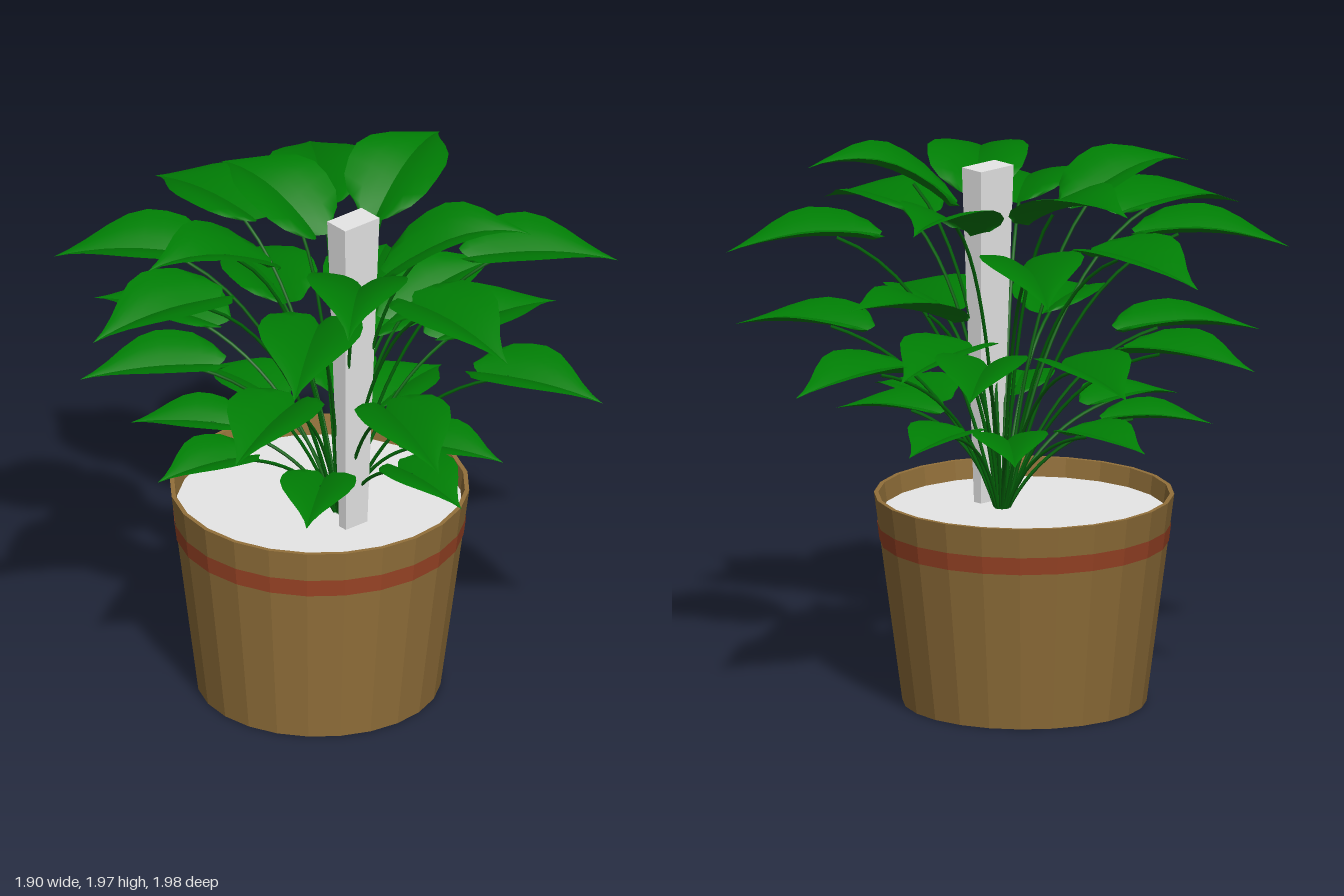
import * as THREE from 'three';

const mat = (name, color, side = THREE.FrontSide) => {
  const m = new THREE.MeshStandardMaterial({ color, side });
  m.name = name;
  return m;
};

// Half-width of the blade from stalk to tip: [position along, fraction of width]
const OUTLINE = [[0, 0.42], [0.05, 0.72], [0.14, 0.91], [0.27, 0.99], [0.4, 1],
  [0.53, 0.87], [0.66, 0.61], [0.79, 0.31], [0.9, 0.11], [1, 0]];

// Heart-shaped blade: the midrib arches gently and both halves fold up from it,
// levelling out towards the edge. Each half has its own vertices, so the
// midrib stays a crisp fold.
function leafGeometry(base, tip, width, arch) {
  const along = tip.clone().sub(base);
  const length = along.length();
  const side = new THREE.Vector3(-along.z, 0, along.x).normalize();
  const cols = 4, pos = [], index = [];
  for (const sign of [1, -1]) {
    const start = pos.length / 3;
    OUTLINE.forEach(([u, w]) => {
      for (let c = 0; c <= cols; c++) {
        const s = c / cols;
        const lobe = -0.07 * Math.sin(Math.PI * s) * Math.max(0, 1 - u * 4);
        const p = base.clone().addScaledVector(along, u + lobe);
        p.addScaledVector(side, sign * s * w * width / 2);
        p.y += arch * Math.pow(Math.sin(Math.PI * Math.min(u, 0.9999)), 0.8);
        p.y += length * w * (0.215 * s - 0.1 * s * s);
        pos.push(p.x, p.y, p.z);
      }
    });
    for (let r = 0; r < OUTLINE.length - 1; r++) for (let c = 0; c < cols; c++) {
      const a = start + r * (cols + 1) + c, b = a + 1, d = a + cols + 1, e = d + 1;
      if (sign > 0) index.push(a, b, d, b, e, d);
      else index.push(a, d, b, b, d, e);
    }
  }
  const g = new THREE.BufferGeometry();
  g.setAttribute('position', new THREE.Float32BufferAttribute(pos, 3));
  g.setIndex(index);
  g.computeVertexNormals();
  return g;
}

// The pot leans slightly: its axis drifts as it rises
const lean = (g) => {
  const p = g.attributes.position;
  for (let i = 0; i < p.count; i++) {
    const y = p.getY(i);
    p.setX(i, p.getX(i) - 0.055 - 0.033 * y);
    p.setZ(i, p.getZ(i) - 0.005 - 0.033 * y);
  }
  return g;
};

// Faceted, leaning ring from a [radius, height] profile
function turned(profile) {
  const g = new THREE.LatheGeometry(profile.map(([r, y]) => new THREE.Vector2(r, y)), 24).toNonIndexed();
  lean(g).computeVertexNormals();
  return g;
}

export function createModel() {
  const model = new THREE.Group();
  const potBrown = mat('pot brown', 0x92703a, THREE.DoubleSide);
  const bandRed = mat('band red', 0x9c4526, THREE.DoubleSide);
  const paleGrey = mat('pale grey', 0xe8e8e8);
  const leafGreen = mat('leaf green', 0x007d04, THREE.DoubleSide);
  const stemGreen = mat('stem green', 0x006406);
  const add = (name, geometry, material, parent = model) => {
    const m = new THREE.Mesh(geometry, material);
    m.name = name;
    parent.add(m);
    return m;
  };

  // Pot with a recessed base and a thin rim
  add('pot', turned([[0, 0.03], [0.415, 0.03], [0.42, 0], [0.436, 0], [0.536, 0.77],
    [0.52, 0.77], [0.508, 0.68]]), potBrown);
  const radiusAt = (y) => 0.436 + 0.1 * y / 0.77 + 0.003;
  add('potBand', turned([[radiusAt(0.595), 0.595], [radiusAt(0.66), 0.66]]), bandRed);

  // Soil surface
  const soil = new THREE.CircleGeometry(0.513, 24).rotateX(-Math.PI / 2).translate(0, 0.7, 0);
  add('soil', lean(soil), paleGrey);

  // Support post, narrower towards the soil
  const post = new THREE.BoxGeometry(1, 1.24, 1).translate(0, 1.31, 0);
  const pp = post.attributes.position;
  for (let i = 0; i < pp.count; i++) {
    const top = pp.getY(i) > 1;
    pp.setX(i, 0.127 + pp.getX(i) * (top ? 0.1 : 0.036));
    pp.setZ(i, -0.013 + pp.getZ(i) * (top ? 0.16 : 0.1));
  }
  post.computeVertexNormals();
  add('supportPost', post, paleGrey);

  // Leaf tiers: base and tip heights, blade size, and tip positions [x, z],
  // followed by the blade's base [x, z] where it does not point straight out
  const tiers = [
    { name: 'lowest', baseY: 1.02, tipY: 1.015, length: 0.38, width: 0.27, arch: 0.018,
      tips: [[0.74, 0], [0.5, 0.52], [-0.11, 0.7], [-0.52, 0.48], [-0.68, 0], [-0.5, -0.47], [-0.14, -0.65], [0.57, -0.34]] },
    { name: 'lower', baseY: 1.32, tipY: 1.305, length: 0.5, width: 0.33, arch: 0.024,
      tips: [[0.9, 0.24], [0.39, 0.76], [-0.47, 0.76], [-0.91, 0.32], [-0.9, -0.3], [-0.55, -0.74], [-0.17, -0.72],
        [0.87, -0.55, 0.43, -0.34]] },
    { name: 'back', baseY: 1.26, tipY: 1.25, length: 0.52, width: 0.34, arch: 0.03, tips: [[0.09, -0.99]] },
    { name: 'rising', baseY: 1.41, tipY: 1.52, length: 0.47, width: 0.33, arch: 0.035, tips: [[0.1, -0.72]] },
    { name: 'upper', baseY: 1.7, tipY: 1.67, length: 0.53, width: 0.37, arch: 0.034,
      tips: [[0.95, -0.04], [0.67, 0.72], [-0.13, 0.985], [-0.72, 0.67], [-0.955, 0], [-0.8, -0.59], [0.6, -0.85]] },
    { name: 'top', baseY: 1.76, tipY: 1.87, length: 0.49, width: 0.36, arch: 0.06,
      tips: [[-0.13, 0.73], [-0.6, -0.01], [-0.27, -0.75]] },
    { name: 'side', baseY: 1.77, tipY: 1.82, length: 0.49, width: 0.36, arch: 0.06, tips: [[0.66, 0.46, 0.31, 0.1]] },
    { name: 'tallest', baseY: 1.76, tipY: 1.91, length: 0.52, width: 0.34, arch: 0.08, tips: [[0.6, -0.45, 0.29, -0.05]] },
  ];

  // Each leaf hangs on an arching stem that springs from one crown
  // and runs on under the blade along its midrib
  const crown = new THREE.Vector3(0.02, 0.69, -0.045);
  for (const t of tiers) {
    const tier = new THREE.Group();
    tier.name = t.name + 'Leaves';
    model.add(tier);
    for (const [x, z, baseX, baseZ] of t.tips) {
      const tip = new THREE.Vector3(x, t.tipY, z);
      const out = new THREE.Vector3(x - crown.x, 0, z - crown.z);
      const base = crown.clone().addScaledVector(out, 1 - t.length / out.length());
      if (baseX !== undefined) base.set(baseX, 0, baseZ);
      base.y = t.baseY;
      add('leaf', leafGeometry(base, tip, t.width, t.arch), leafGreen, tier);

      const root = crown.clone().addScaledVector(out.normalize(), 0.02);
      const end = base.clone().lerp(tip, 0.25);
      end.y += t.arch * 0.6;
      const bend = root.clone().lerp(base, 0.38);
      bend.y = root.y + (base.y - root.y) * 0.85;
      const path = new THREE.QuadraticBezierCurve3(root, bend, end);
      add('stem', new THREE.TubeGeometry(path, 14, 0.0065, 5), stemGreen, tier);
    }
  }
  return model;
}
